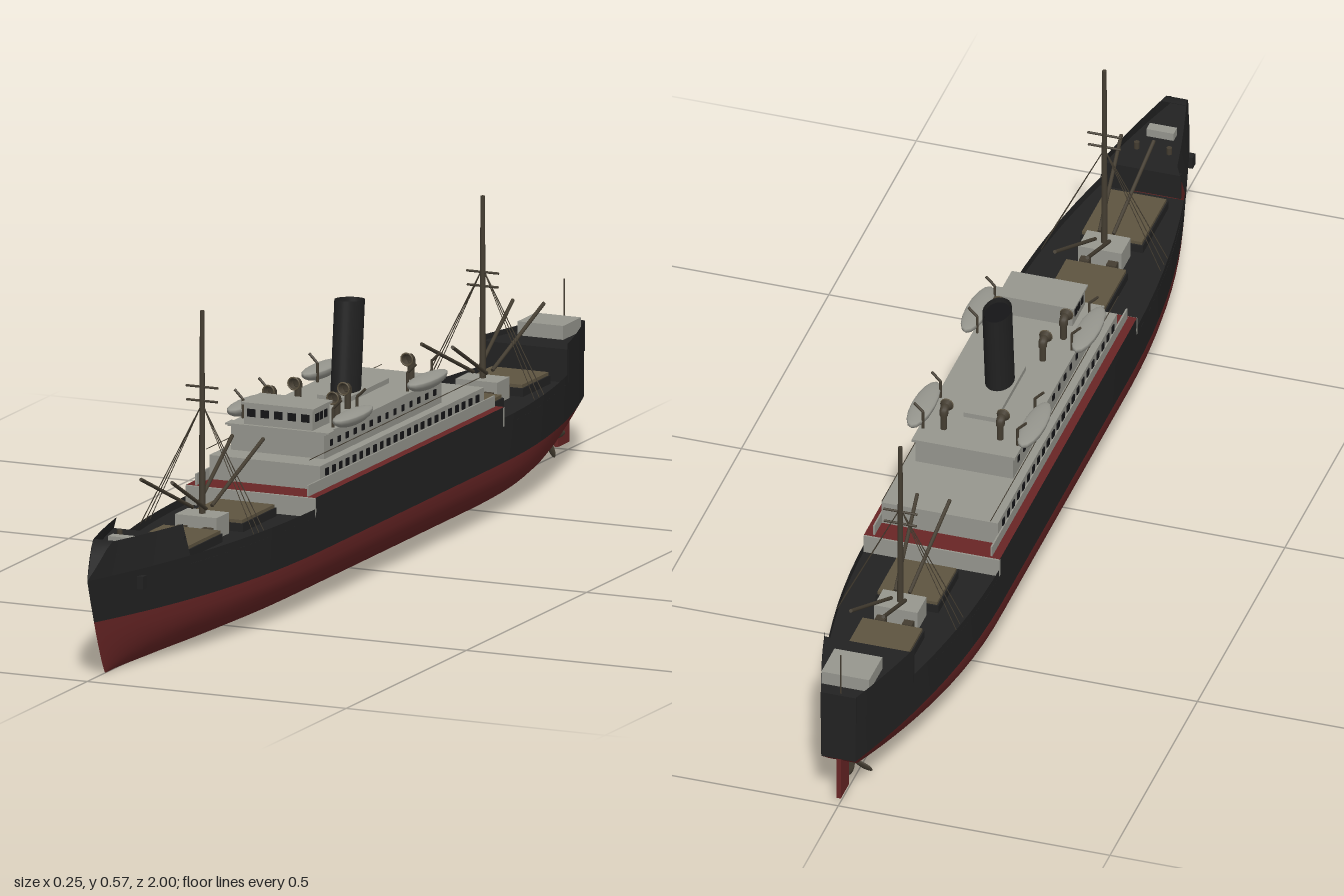
import * as THREE from 'three';

const mat = (name, color, double = false) => {
  const m = new THREE.MeshStandardMaterial({ color });
  m.name = name;
  if (double) m.side = THREE.DoubleSide;
  return m;
};

export function createModel() {
  const ship = new THREE.Group();
  ship.name = 'steamship';
  const black = mat('hullBlack', 0x222222, true);
  const red = mat('hullRed', 0x682525, true);
  const white = mat('houseGrey', 0x96968e, true);
  const wood = mat('hatchWood', 0x5e5440);
  const spar = mat('sparBrown', 0x443d31, true);
  const glass = mat('windowDark', 0x141416);

  const add = (name, geo, m, x = 0, y = 0, z = 0) => {
    const o = new THREE.Mesh(geo, m);
    o.name = name;
    o.position.set(x, y, z);
    ship.add(o);
    return o;
  };
  // box given by full width, bottom, top, aft end and fore end
  const box = (name, m, w, y0, y1, z0, z1, x = 0) =>
    add(name, new THREE.BoxGeometry(w, y1 - y0, z1 - z0), m, x, (y0 + y1) / 2, (z0 + z1) / 2);
  const rod = (name, m, a, b, r, r2 = r, sides = 8) => {
    const p = new THREE.Vector3(...a), q = new THREE.Vector3(...b), d = q.clone().sub(p);
    const o = add(name, new THREE.CylinderGeometry(r2, r, d.length(), sides), m);
    o.position.copy(p).lerp(q, 0.5);
    o.quaternion.setFromUnitVectors(new THREE.Vector3(0, 1, 0), d.normalize());
    return o;
  };
  // skin over equal-length cross-sections
  const loft = (name, sections, m) => {
    const n = sections[0].length, index = [];
    for (let i = 0; i < sections.length - 1; i++)
      for (let j = 0; j < n - 1; j++) {
        const a = i * n + j, b = a + n;
        index.push(a, b, a + 1, b, b + 1, a + 1);
      }
    const g = new THREE.BufferGeometry();
    g.setAttribute('position', new THREE.Float32BufferAttribute(sections.flat(2), 3));
    g.setIndex(index);
    g.computeVertexNormals();
    return add(name, g, m);
  };
  const range = (a, b, n) => Array.from({ length: n + 1 }, (_, i) => a + (b - a) * i / n);
  const clamp = (v) => Math.min(1, Math.max(0, v));

  // hull lines: stem, stern and half-breadth
  const bow = (y) => 0.925 + 0.075 * Math.pow(clamp(y / 0.18), 0.8);
  const aft = (y) => -(0.8 + 0.2 * Math.pow(clamp(y / 0.1), 0.6));
  const half = (z, y) => {
    const f = clamp((z - 0.28) / (bow(y) - 0.28));
    const a = clamp((-0.45 - z) / (-0.45 - aft(y)));
    const bilge = Math.sqrt(1 - Math.pow(1 - clamp(y / 0.09), 2));
    const end = 0.25 * clamp(y / 0.1);
    return 0.125 * bilge * (1 - Math.pow(f, 2.2)) * (1 - (1 - end) * a * a);
  };
  const stations = range(0, Math.PI, 48).map((a) => (1 - Math.cos(a)) / 2);
  const shell = (name, levels, m) => {
    for (const s of [1, -1]) {
      const rows = stations.map((t) => levels.map((y) => {
        const z = aft(y) + (bow(y) - aft(y)) * t;
        return [s * half(z, y), y, z];
      }));
      loft(name, rows, m);
    }
    // flat closing strip at the stern
    loft(name + 'Transom', levels.map((y) => [1, -1].map((s) => [s * half(aft(y), y), y, aft(y)])), m);
  };
  shell('lowerHull', [0, 0.003, 0.008, 0.016, 0.027, 0.042, 0.06, 0.08, 0.1], red);
  shell('upperHull', [0.1, 0.14, 0.18], black);

  const plating = (name, z0, z1, top, m, taper = 0) => {
    for (const s of [1, -1])
      loft(name, range(z0, z1, 16).map((z) => {
        const w = s * half(z, 0.18), y = top(z);
        return [[w, 0.18, z], [w * (1 - taper * (y - 0.18) / 0.06), y, z]];
      }), m);
  };
  const deck = (name, z0, z1, y, m, k = 1) =>
    loft(name, range(z0, z1, 16).map((z) => [-1, 1].map((s) => [s * k * half(z, 0.18), y, z])), m);
  const bulkhead = (name, z, y0, y1, m, k = 1) =>
    box(name, m, 2 * k * half(z, 0.18), y0, y1, z - 0.003, z + 0.003);

  // well decks and raised midship
  deck('foreWellDeck', 0.32, 0.74, 0.165, black);
  deck('aftWellDeck', -0.82, -0.465, 0.165, black);
  plating('midshipPlating', -0.465, 0.32, () => 0.2, black);
  deck('midshipDeck', -0.465, 0.32, 0.2, red);
  bulkhead('midshipFrontWall', 0.319, 0.165, 0.199, white);
  bulkhead('midshipBackWall', -0.464, 0.165, 0.199, white);

  // forecastle with bulwark sloping down to the stem
  const foreTop = (z) => (z < 0.94 ? 0.235 + 0.005 * clamp((z - 0.74) / 0.2) : 0.24 - (z - 0.94));
  plating('forecastlePlating', 0.74, 1, foreTop, black, 0.2);
  deck('forecastleDeck', 0.74, 0.95, 0.215, black, 0.88);
  bulkhead('forecastleWall', 0.745, 0.165, 0.215, black, 0.9);
  loft('bowCap', range(0.92, 1, 6).map((z) => [-0.8, 0.8].map((s) =>
    [s * half(z, 0.18), foreTop(z) - 0.002, z])), black);
  box('windlass', white, 0.05, 0.215, 0.23, 0.84, 0.86);
  for (const s of [1, -1]) {
    rod('bollard', spar, [s * 0.03, 0.215, 0.8], [s * 0.03, 0.228, 0.8], 0.005);
    box('anchor', black, 0.012, 0.145, 0.168, 0.865, 0.88, s * 0.046);
  }

  // poop with house, ensign staff, rudder and propeller
  plating('poopPlating', -1, -0.82, () => 0.235, black);
  bulkhead('poopWall', -0.823, 0.165, 0.225, black);
  bulkhead('sternPlate', -0.997, 0.18, 0.235, black);
  deck('poopDeck', -1, -0.82, 0.225, black);
  box('poopHouse', white, 0.088, 0.225, 0.25, -0.96, -0.885);
  rod('ensignStaff', spar, [0, 0.225, -0.985], [0, 0.31, -0.985], 0.0015);
  box('rudder', red, 0.008, 0.015, 0.1, -0.998, -0.95);
  rod('propellerShaft', spar, [0, 0.04, -0.85], [0, 0.04, -0.925], 0.006);
  for (let i = 0; i < 4; i++) {
    const a = i * Math.PI / 2 + 0.4;
    const blade = add('propellerBlade', new THREE.SphereGeometry(1, 8, 6), spar,
      -Math.sin(a) * 0.02, 0.04 + Math.cos(a) * 0.02, -0.912);
    blade.scale.set(0.009, 0.018, 0.003);
    blade.rotation.set(0, 0.4, a, 'ZYX');
  }

  // deckhouse tiers
  box('lowerHouse', white, 0.214, 0.2, 0.243, -0.42, 0.262);
  box('upperHouse', white, 0.18, 0.243, 0.288, -0.28, 0.208);
  box('boatDeck', white, 0.19, 0.286, 0.291, -0.285, 0.212);
  box('bridge', white, 0.132, 0.291, 0.328, 0.135, 0.205);
  box('bridgeRoof', white, 0.14, 0.327, 0.331, 0.13, 0.21);
  box('bridgeWing', white, 0.2, 0.288, 0.291, 0.185, 0.212);
  box('engineCasing', white, 0.06, 0.291, 0.3, -0.19, -0.02);
  for (const s of [1, -1]) {
    box('sideRail', white, 0.003, 0.2, 0.22, -0.46, 0.315, s * 0.108);
    rod('awningWire', spar, [s * 0.1, 0.26, -0.44], [s * 0.1, 0.26, 0.29], 0.0008, 0.0008, 4);
    for (const z of range(-0.39, 0.235, 22))
      box('lowerWindow', glass, 0.003, 0.222, 0.235, z - 0.006, z + 0.006, s * 0.1075);
    for (const z of range(-0.25, 0.18, 13))
      box('upperWindow', glass, 0.003, 0.262, 0.273, z - 0.005, z + 0.005, s * 0.0902);
    for (const z of [0.152, 0.17, 0.188])
      box('bridgeSideWindow', glass, 0.003, 0.305, 0.319, z - 0.006, z + 0.006, s * 0.066);
  }
  for (const x of range(-0.052, 0.052, 4))
    box('bridgeWindow', glass, 0.016, 0.305, 0.319, 0.204, 0.2065, x);

  // raked oval funnel
  const funnel = add('funnel', new THREE.CylinderGeometry(0.025, 0.025, 0.17, 28, 1, true), black, 0, 0.375, -0.083);
  funnel.scale.z = 1.4;
  funnel.geometry.translate(0, 0, 0);
  funnel.rotation.x = -0.1;
  const cap = add('funnelTop', new THREE.CylinderGeometry(0.022, 0.022, 0.004, 28), glass, 0, 0.45, -0.0905);
  cap.scale.z = 1.4;
  cap.rotation.x = -0.1;

  // cowl ventilators
  const cowl = (x, z, h) => {
    rod('ventilatorPipe', spar, [x, 0.288, z], [x, h - 0.008, z], 0.006, 0.006, 12);
    const elbow = new THREE.QuadraticBezierCurve3(new THREE.Vector3(x, h - 0.01, z),
      new THREE.Vector3(x, h + 0.003, z), new THREE.Vector3(x, h, z + 0.01));
    add('ventilatorElbow', new THREE.TubeGeometry(elbow, 6, 0.008, 12), spar);
    const mouth = add('ventilatorMouth', new THREE.CylinderGeometry(0.012, 0.007, 0.012, 16, 1, true), spar, x, h, z + 0.012);
    mouth.rotation.x = Math.PI / 2;
    add('ventilatorRim', new THREE.TorusGeometry(0.011, 0.0015, 6, 16), wood, x, h, z + 0.018);
  };
  for (const s of [1, -1]) {
    cowl(s * 0.052, -0.235, 0.33);
    cowl(s * 0.048, 0.02, 0.33);
    cowl(s * 0.062, 0.095, 0.33);
  }

  // lifeboats hung on curved davits
  for (const s of [1, -1])
    for (const z of [-0.195, 0.115]) {
      const boat = add('lifeboat', new THREE.SphereGeometry(1, 16, 8, 0, Math.PI * 2, Math.PI / 2, Math.PI / 2), white, s * 0.102, 0.306, z);
      boat.scale.set(0.021, 0.019, 0.073);
      const cover = add('lifeboatCover', new THREE.SphereGeometry(1, 16, 5, 0, Math.PI * 2, 0, Math.PI / 2), white, s * 0.102, 0.306, z);
      cover.scale.set(0.021, 0.006, 0.073);
      for (const d of [-0.05, 0.05]) {
        rod('davitPost', spar, [s * 0.087, 0.27, z + d], [s * 0.087, 0.325, z + d], 0.0025);
        rod('davitArm', spar, [s * 0.087, 0.325, z + d], [s * 0.103, 0.341, z + d], 0.0025);
      }
    }

  // masts with crosstrees, derricks, shrouds and winch platforms
  for (const [z, top] of [[0.522, 0.567], [-0.645, 0.53]]) {
    rod('mast', spar, [0, 0.165, z], [0, top, z], 0.006, 0.004, 12);
    box('mastHouse', white, 0.08, 0.165, 0.203, z - 0.026, z + 0.026);
    for (const [y, w] of [[top - 0.137, 0.031], [top - 0.162, 0.03]])
      rod('crosstree', spar, [-w, y, z], [w, y, z], 0.0022);
    for (const s of [1, -1]) {
      for (const d of [1, -1]) {
        rod('derrickBoom', spar, [s * 0.013, 0.215, z + d * 0.012], [s * 0.03, 0.3, z + d * 0.19], 0.0035);
        box('winch', spar, 0.018, 0.165, 0.185, z + d * 0.033 - 0.008, z + d * 0.033 + 0.008, s * 0.025);
      }
      for (const d of [-0.02, 0, 0.02])
        rod('shroud', spar, [0, 0.4, z], [s * (half(z, 0.18) - 0.004), 0.178, z + d], 0.0009, 0.0009, 4);
    }
  }

  // cargo hatches
  for (const [z0, z1] of [[0.34, 0.475], [0.565, 0.705], [-0.8, -0.69], [-0.605, -0.495]]) {
    box('hatchCoaming', black, 0.116, 0.165, 0.18, z0 - 0.003, z1 + 0.003);
    box('hatchCover', wood, 0.11, 0.165, 0.186, z0, z1);
  }
  return ship;
}
